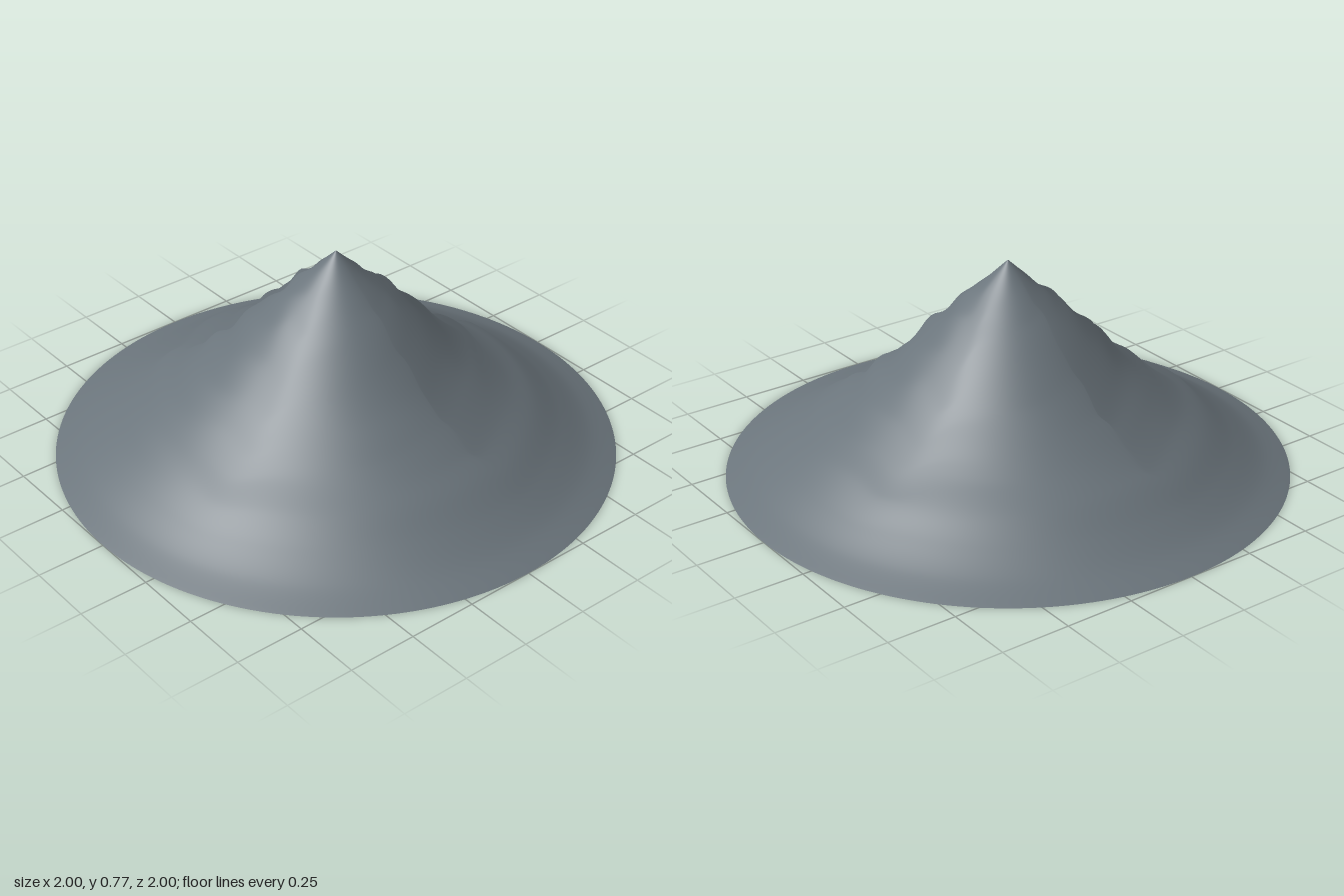
import * as THREE from 'three';

const rock = new THREE.MeshStandardMaterial({ color: 0x6b757c, side: THREE.DoubleSide });
rock.name = 'slate grey rock';

// Mean slope from the rim up to the peak: [radius, height]
const slope = [
  [1, 0], [0.9, 0.042], [0.8, 0.102], [0.7, 0.172], [0.6, 0.235], [0.5, 0.31],
  [0.4, 0.395], [0.25, 0.545], [0.16, 0.625], [0.08, 0.695], [0, 0.77],
];

// Four narrow gullies, a quarter turn apart
const gullyAngle = THREE.MathUtils.degToRad(15);
function gully(angle, r) {
  const quarter = Math.PI / 2;
  let d = (angle - gullyAngle) % quarter;
  if (d < 0) d += quarter;
  if (d > quarter / 2) d -= quarter;
  const width = d < 0 ? 0.1 : 0.2; // steeper on one bank
  const depth = 0.09 * THREE.MathUtils.smoothstep(r, 0.02, 0.35)
    * (1 - THREE.MathUtils.smoothstep(r, 0.35, 0.97));
  return depth * Math.exp(-((d / width) ** 2));
}

// Gentle lumps that fade out at the peak and the rim
function lumps(angle, r) {
  const fade = THREE.MathUtils.smoothstep(r, 0.02, 0.2) * (1 - THREE.MathUtils.smoothstep(r, 0.5, 0.95));
  return fade * (0.009 * Math.sin(38 * r + 3 * Math.sin(2 * angle))
    + 0.006 * Math.sin(61 * r + 5 * angle) + 0.004 * Math.sin(9 * angle - 20 * r));
}

export function createModel() {
  const group = new THREE.Group();
  group.name = 'mountain';

  // Smooth open cone; its soft normals are kept while the surface is carved
  const curve = new THREE.SplineCurve(slope.map(([r, y]) => new THREE.Vector2(r, y)));
  const profile = curve.getPoints(90).map((p) => new THREE.Vector2(Math.max(p.x, 0), Math.max(p.y, 0)));
  const geometry = new THREE.LatheGeometry(profile, 192);
  const pos = geometry.attributes.position;
  for (let i = 0; i < pos.count; i++) {
    const x = pos.getX(i), z = pos.getZ(i);
    const r = Math.hypot(x, z);
    const angle = Math.atan2(-z, x);
    pos.setY(i, Math.max(0, pos.getY(i) + lumps(angle, r) - gully(angle, r)));
  }

  const slopes = new THREE.Mesh(geometry, rock);
  slopes.name = 'mountainSlopes';
  group.add(slopes);
  return group;
}
